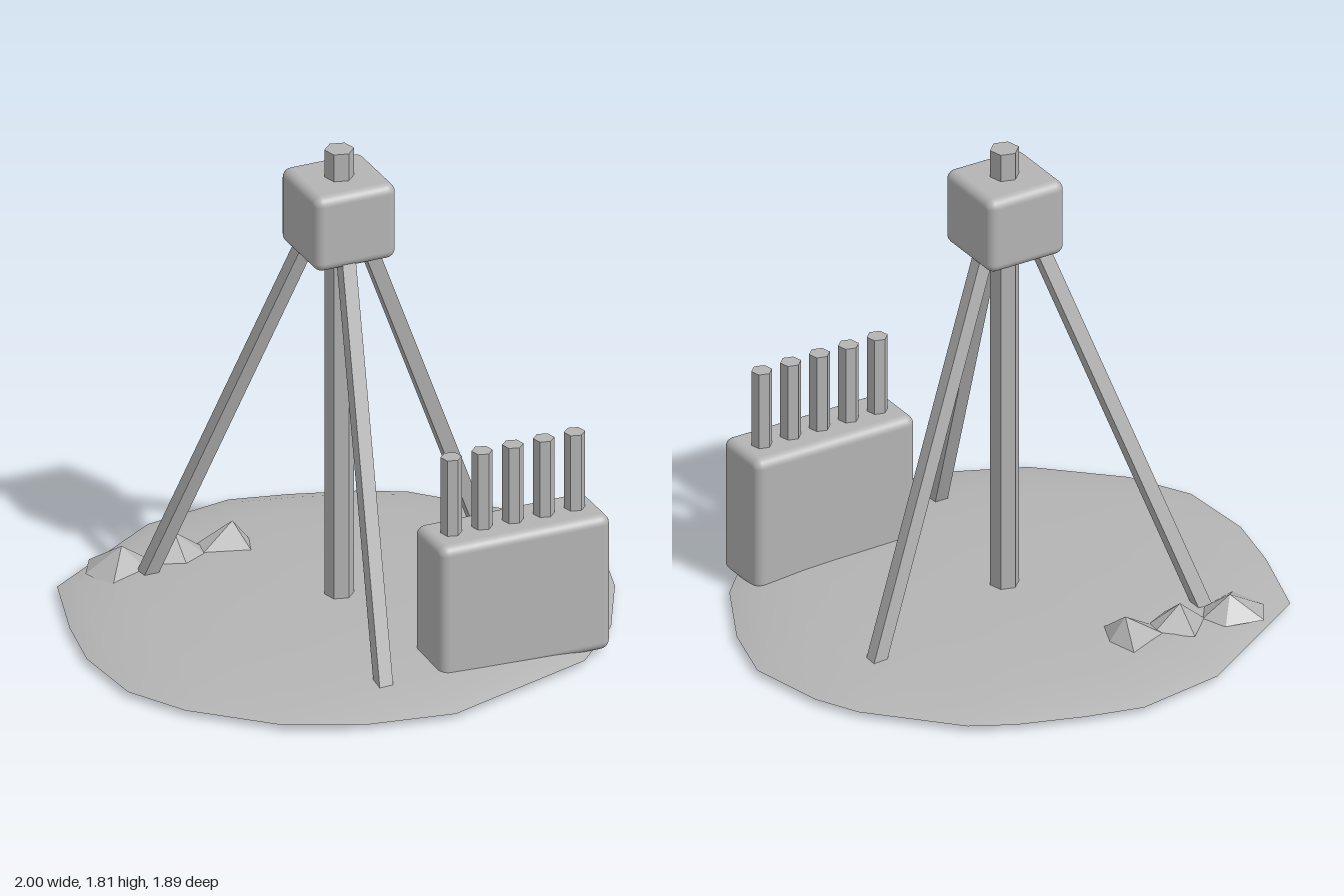
import * as THREE from 'three';
import { RoundedBoxGeometry } from 'three/addons/geometries/RoundedBoxGeometry.js';
import { ConvexGeometry } from 'three/addons/geometries/ConvexGeometry.js';

export function createModel() {
  const group = new THREE.Group();
  const grey = new THREE.MeshStandardMaterial({ color: 0xb4b4b4 });
  grey.name = 'plain grey';

  const add = (name, geometry, x = 0, y = 0, z = 0) => {
    const mesh = new THREE.Mesh(geometry, grey);
    mesh.name = name;
    mesh.position.set(x, y, z);
    group.add(mesh);
    return mesh;
  };
  const faceted = (geometry) => {
    const flat = geometry.index ? geometry.toNonIndexed() : geometry;
    flat.computeVertexNormals();
    return flat;
  };
  const hexRod = (radius, height) =>
    faceted(new THREE.CylinderGeometry(radius, radius, height, 6).rotateY(0.25));

  // Irregular ground outline [x, z], running from +x towards -z
  const outline = [
    [1, 0], [0.94, -0.29], [0.86, -0.45], [0.59, -0.74], [0.44, -0.82], [0.2, -0.9],
    [-0.01, -0.95], [-0.35, -0.89], [-0.85, -0.57], [-0.95, -0.25], [-1, 0], [-0.98, 0.3],
    [-0.86, 0.52], [-0.6, 0.77], [-0.34, 0.89], [-0.01, 0.945], [0.58, 0.75], [0.78, 0.54], [0.93, 0.25],
  ];
  // Shallow mound: scaled rings of the outline, [scale, height]
  const rings = [[1, 0.022], [0.92, 0.045], [0.75, 0.064], [0.5, 0.075], [0.25, 0.08]];
  const n = outline.length;
  const positions = [];
  const index = [];
  for (const [s, y] of rings) for (const [x, z] of outline) positions.push(x * s, y, z * s);
  const crown = positions.length / 3;
  positions.push(0, 0.08, 0);
  for (let r = 0; r < rings.length; r++) {
    for (let i = 0; i < n; i++) {
      const a = r * n + i;
      const b = r * n + (i + 1) % n;
      if (r === rings.length - 1) index.push(a, b, crown);
      else index.push(a, b, b + n, a, b + n, a + n);
    }
  }
  const mound = new THREE.BufferGeometry();
  mound.setAttribute('position', new THREE.Float32BufferAttribute(positions, 3));
  mound.setIndex(index);
  mound.computeVertexNormals();
  add('ground', mound);

  // Flat underside of the ground
  const shape = new THREE.Shape(outline.map(([x, z]) => new THREE.Vector2(x, z)));
  add('groundUnderside', new THREE.ShapeGeometry(shape).rotateX(Math.PI / 2), 0, 0.021, 0);

  // Central post and the housing near its top
  add('centralPost', hexRod(0.053, 1.75), -0.022, 0.94, 0);
  add('housing', new RoundedBoxGeometry(0.315, 0.29, 0.31, 4, 0.035), -0.0225, 1.565, -0.003);

  // Three legs meeting inside the housing
  const apex = new THREE.Vector3(-0.025, 1.72, 0);
  for (const degrees of [18, 138, 258]) {
    const angle = THREE.MathUtils.degToRad(degrees);
    const foot = new THREE.Vector3(apex.x + 0.72 * Math.cos(angle), 0.015, -0.72 * Math.sin(angle));
    const direction = apex.clone().sub(foot);
    const leg = add('leg', new THREE.BoxGeometry(0.052, direction.length(), 0.052));
    leg.position.copy(apex).add(foot).multiplyScalar(0.5);
    leg.quaternion.setFromUnitVectors(new THREE.Vector3(0, 1, 0), direction.normalize());
  }

  // Cabinet with a row of upright rods
  add('cabinet', new RoundedBoxGeometry(0.66, 0.525, 0.235, 4, 0.035), 0.375, 0.283, 0.592);
  for (let i = 0; i < 5; i++) add('cabinetRod', hexRod(0.038, 0.36), 0.137 + i * 0.1195, 0.66, 0.59);

  // Half-buried knot with a flaring wing on each side
  const hull = (name, points) =>
    add(name, new ConvexGeometry(points.map((p) => new THREE.Vector3(...p))));
  hull('rightWing', [
    [-0.68, 0.05, -0.67], [-0.74, 0.05, -0.57], [-0.7, 0.05, -0.43], [-0.53, 0.05, -0.48],
    [-0.48, 0.05, -0.56], [-0.54, 0.05, -0.64], [-0.6, 0.13, -0.57],
  ]);
  hull('leftWing', [
    [-0.145, 0.05, -0.675], [-0.1, 0.05, -0.55], [-0.145, 0.05, -0.42],
    [-0.32, 0.06, -0.51], [-0.32, 0.06, -0.59], [-0.18, 0.152, -0.55],
  ]);
  hull('knot', [
    [-0.5, 0.06, -0.56], [-0.4, 0.06, -0.66], [-0.28, 0.06, -0.57],
    [-0.3, 0.06, -0.5], [-0.4, 0.06, -0.45], [-0.49, 0.06, -0.5], [-0.4, 0.147, -0.56],
  ]);
  return group;
}
